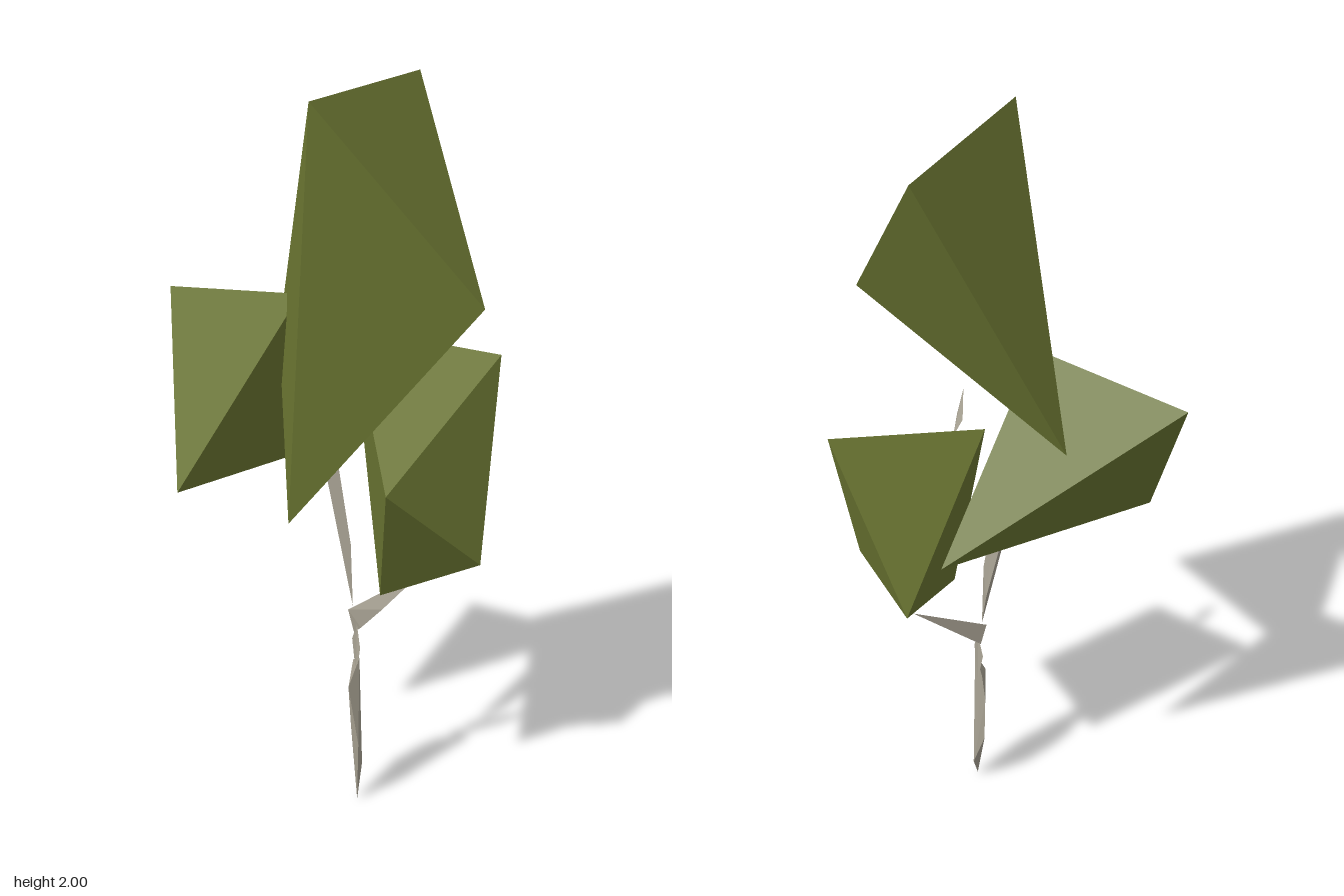
import * as THREE from 'three';
import { ConvexGeometry } from 'three/addons/geometries/ConvexGeometry.js';

const leafMaterial = new THREE.MeshStandardMaterial({ color: 0x6b7632 });
leafMaterial.name = 'olive leaves';
const barkMaterial = new THREE.MeshStandardMaterial({ color: 0xa8a293 });
barkMaterial.name = 'grey bark';

// Faceted solid spanned by a handful of corner points
function facet(name, material, corners) {
  const points = corners.map((c) => new THREE.Vector3(...c));
  const mesh = new THREE.Mesh(new ConvexGeometry(points), material);
  mesh.name = name;
  return mesh;
}

export function createModel() {
  const tree = new THREE.Group();
  tree.name = 'lowPolyTree';

  // Foliage: three angular clumps
  const foliage = new THREE.Group();
  foliage.name = 'foliage';
  foliage.add(
    facet('topClump', leafMaterial, [
      [-0.23, 2.0, 0.15], [0.26, 1.98, 0.06], [0.04, 1.53, 0.44],
      [-0.34, 1.04, 0.18], [0.055, 1.3, -0.22],
    ]),
    facet('frontClump', leafMaterial, [
      [0.13, 1.34, -0.035], [0.335, 1.29, 0.285], [-0.1, 1.05, 0.275],
      [0, 0.695, 0.18], [0.155, 0.795, 0.38], [0.31, 0.815, 0.08],
    ]),
    facet('backClump', leafMaterial, [
      [-0.115, 1.42, -0.44], [-0.305, 0.965, -0.24],
      [0.3, 1.02, -0.03], [-0.053, 1.477, -0.043],
    ]),
  );

  // Trunk: slender splinters stacked upward
  const trunk = new THREE.Group();
  trunk.name = 'trunk';
  trunk.add(
    facet('lowerTrunk', barkMaterial, [
      [0.005, 0, 0.105], [0.048, 0.09, 0.085], [0.04, 0.2, 0.05], [-0.01, 0.2, 0.12],
      [0.038, 0.35, 0.047], [-0.03, 0.39, 0.1], [0.035, 0.43, 0.06], [0.005, 0.47, 0.108],
    ]),
    facet('middleTrunk', barkMaterial, [
      [-0.005, 0.42, 0.105], [0.035, 0.41, 0.075], [0.03, 0.5, 0.06],
      [0.005, 0.5, 0.11], [0.02, 0.56, 0.085],
    ]),
    facet('sideBranch', barkMaterial, [
      [0.02, 0.53, 0.075], [0.01, 0.6, 0.062], [0.025, 0.55, 0.095],
      [0.07, 0.6, 0.13], [0.175, 0.69, 0.18],
    ]),
    facet('upperTrunk', barkMaterial, [
      [0.02, 0.61, 0.07], [0.032, 0.72, 0.045], [0.01, 0.8, 0.07], [0.025, 0.82, 0.025],
      [0.0, 1.02, 0.035], [0.025, 0.98, -0.015], [0.0, 1.07, -0.03],
    ]),
    facet('topTwig', barkMaterial, [
      [-0.03, 1.3, 0.16], [0.015, 1.18, 0.16], [-0.015, 1.23, 0.17], [0, 1.23, 0.14],
    ]),
  );

  tree.add(foliage, trunk);
  return tree;
}
